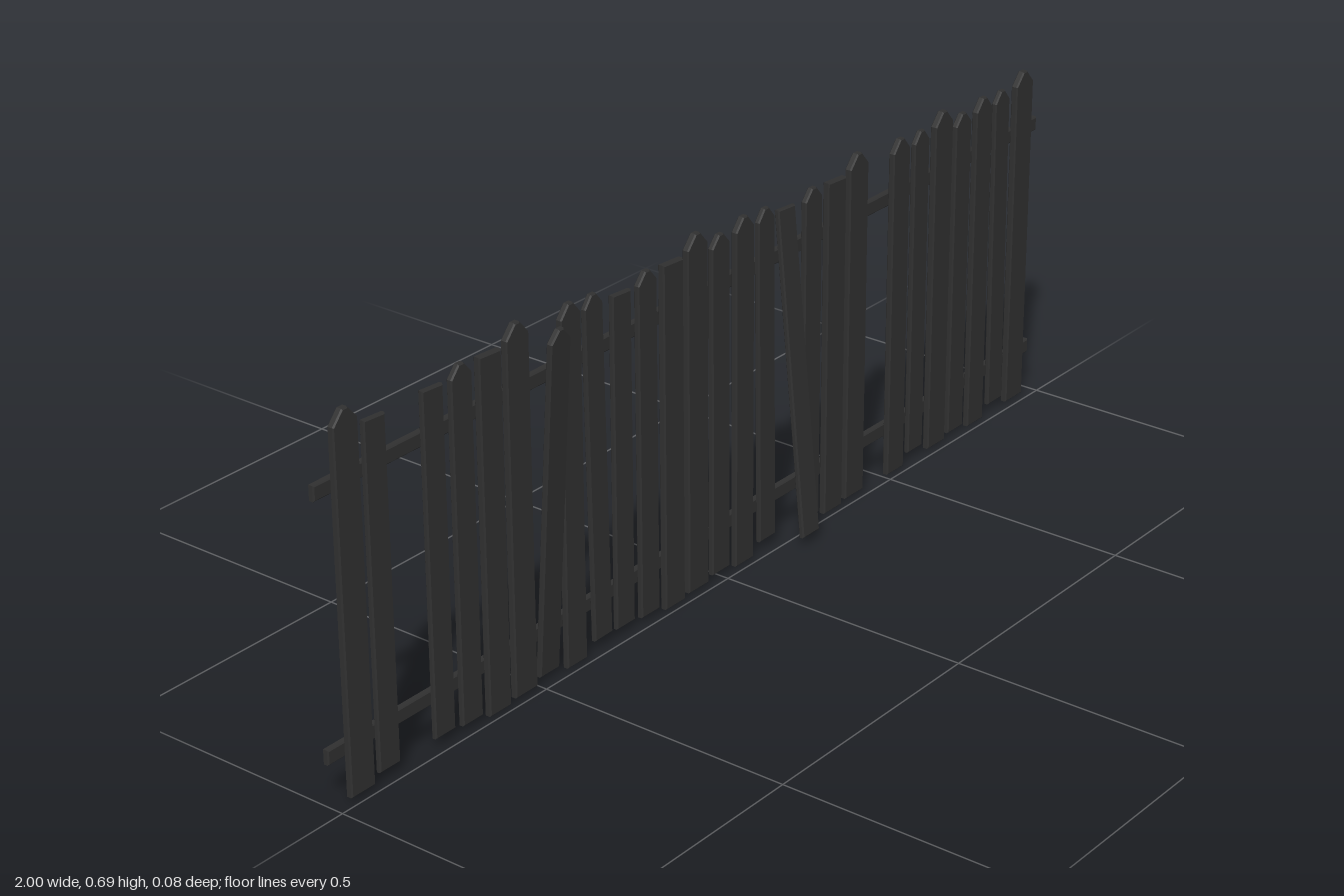
import * as THREE from 'three';

const BACK = -0.026; // plane where the pickets meet the rails

// Picket kinds: width, thickness, bottom, top, height of the pointed tip (0 = flat)
const KINDS = {
  A: { w: 0.056, t: 0.014, y0: 0.008, y1: 0.691, tip: 0.025 },
  B: { w: 0.049, t: 0.011, y0: 0.02, y1: 0.651, tip: 0 },
  C: { w: 0.05, t: 0.012, y0: 0.014, y1: 0.667, tip: 0.022 },
  D: { w: 0.054, t: 0.014, y0: 0.003, y1: 0.662, tip: 0 },
  E: { w: 0.052, t: 0.013, y0: 0.004, y1: 0.678, tip: 0.024 },
  F: { w: 0.047, t: 0.011, y0: 0.023, y1: 0.673, tip: 0.022 },
};

// Order along the fence, '_' is a missing picket
const ORDER = 'AB_BCDACEFBCDACEFBCDA_EFACEFA';

// Loose pickets: lean forward/back (x), sideways (z), and z of the centre
const LOOSE = {
  7: { x: 0.065, z: 0, cz: -0.003 },
  9: { x: 0, z: 0.02 },
  16: { x: 0, z: 0.012 },
  17: { x: -0.098, z: 0, cz: 0.001 },
  27: { x: 0, z: 0.012 },
};

// Board with softened edges, centred on its own origin
function board(points, thickness) {
  const b = 0.0025;
  const shape = new THREE.Shape(points.map(([x, y]) => new THREE.Vector2(x, y)));
  const geo = new THREE.ExtrudeGeometry(shape, {
    depth: thickness - 2 * b, bevelEnabled: true, bevelThickness: b,
    bevelSize: b, bevelOffset: -b, bevelSegments: 1,
  });
  geo.translate(0, 0, b - thickness / 2);
  return geo;
}

function picketGeometry({ w, t, y0, y1, tip }) {
  const h = (y1 - y0) / 2, r = w / 2;
  const pts = [[-r, -h], [r, -h]];
  if (tip) pts.push([r, h - tip], [0.006, h], [-0.006, h], [-r, h - tip]);
  else pts.push([r, h - 0.003], [-r, h]);
  return board(pts, t);
}

export function createModel() {
  const fence = new THREE.Group();
  fence.name = 'picketFence';
  const wood = new THREE.MeshStandardMaterial({ color: 0x303030 });
  wood.name = 'charcoalWood';

  // Two long rails behind the pickets
  const railGeo = board([[-1, -0.014], [1, -0.014], [1, 0.014], [-1, 0.014]], 0.013);
  for (const [name, y] of [['lowerRail', 0.095], ['upperRail', 0.564]]) {
    const rail = new THREE.Mesh(railGeo, wood);
    rail.name = name;
    rail.position.set(0, y, -0.0315);
    fence.add(rail);
  }

  // Pickets
  const geos = {};
  for (const k in KINDS) geos[k] = picketGeometry(KINDS[k]);
  [...ORDER].forEach((k, i) => {
    if (k === '_') return;
    const kind = KINDS[k];
    const lean = LOOSE[i] ?? { x: 0, z: 0 };
    const picket = new THREE.Mesh(geos[k], wood);
    picket.name = `picket${i + 1}`;
    picket.position.set(-0.936 + i * 0.06686, (kind.y0 + kind.y1) / 2, lean.cz ?? BACK + kind.t / 2);
    picket.rotation.set(lean.x, 0, lean.z);
    fence.add(picket);
  });
  return fence;
}
